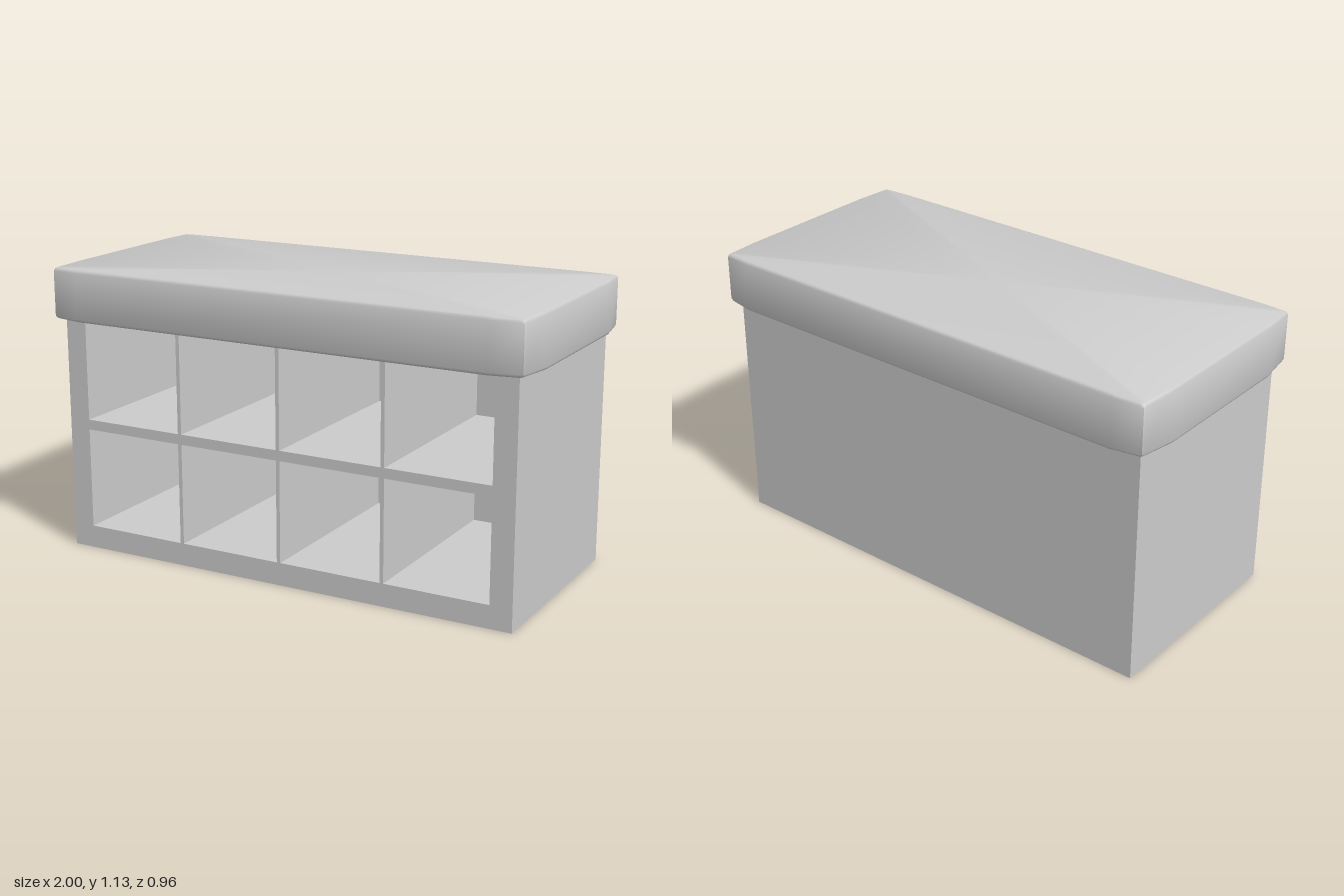
import * as THREE from 'three';
import { toCreasedNormals } from 'three/addons/utils/BufferGeometryUtils.js';

const material = new THREE.MeshStandardMaterial({ color: 0xcccccc });

function rectangle(path, x0, y0, x1, y1) {
  path.moveTo(x0, y0);
  path.lineTo(x1, y0);
  path.lineTo(x1, y1);
  path.lineTo(x0, y1);
  path.closePath();
  return path;
}

// Cubby carcass: a slab pierced by a 4 x 2 grid of compartments
function createCarcass() {
  const shape = rectangle(new THREE.Shape(), -0.948, 0, 0.948, 0.95);
  const gap = 0.015, width = (1.72 - 3 * gap) / 4;
  for (const y of [0.09, 0.53]) {
    for (let i = 0; i < 4; i++) {
      const x = -0.86 + i * (width + gap);
      shape.holes.push(rectangle(new THREE.Path(), x, y, x + width, y + 0.4));
    }
  }
  const geometry = new THREE.ExtrudeGeometry(shape, { depth: 0.8, bevelEnabled: false });
  geometry.translate(0, 0, -0.38);
  return geometry;
}

// One horizontal outline of the cushion: sides bulge, corners stay pulled in
function cushionRing(y, halfX, halfZ, inset) {
  const quarter = [[halfX, 0.31], [0.977, 0.446], [0.974, 0.454], [0.965, 0.458], [0.86, halfZ]]
    .map(([x, z]) => [x - inset, z - inset]);
  const flipped = [...quarter].reverse();
  return [
    ...quarter,
    ...flipped.map(([x, z]) => [-x, z]),
    ...quarter.map(([x, z]) => [-x, -z]),
    ...flipped.map(([x, z]) => [x, -z]),
  ].map(([x, z]) => [x, y, z]);
}

// Cushion lid: stacked outlines with small rounded rims, flat top and bottom
function createCushion() {
  const rims = [
    [0.93, 1, 0.478, 0.012], [0.934, 1, 0.478, 0.004], [0.943, 1, 0.478, 0],
    [1.118, 0.986, 0.464, 0], [1.127, 0.986, 0.464, 0.004], [1.131, 0.986, 0.464, 0.012],
  ];
  const rings = rims.map((rim) => cushionRing(...rim));
  const n = rings[0].length;
  const positions = [...rings.flat(2), 0, 0.93, 0, 0, 1.131, 0];
  const bottom = rings.length * n, top = bottom + 1, last = (rings.length - 1) * n;
  const index = [];
  for (let i = 0; i < n; i++) {
    const j = (i + 1) % n;
    for (let r = 0; r < rings.length - 1; r++) {
      const a = r * n + i, b = r * n + j;
      index.push(a, a + n, b, b, a + n, b + n);
    }
    index.push(bottom, i, j, top, last + j, last + i);
  }
  const geometry = new THREE.BufferGeometry();
  geometry.setAttribute('position', new THREE.Float32BufferAttribute(positions, 3));
  geometry.setIndex(index);
  return toCreasedNormals(geometry, 0.7);
}

export function createModel() {
  const group = new THREE.Group();
  group.name = 'storageBench';
  const add = (name, geometry) => {
    const mesh = new THREE.Mesh(geometry, material);
    mesh.name = name;
    group.add(mesh);
    return mesh;
  };
  add('cubbyCarcass', createCarcass());
  add('backPanel', new THREE.BoxGeometry(1.896, 0.95, 0.04)).position.set(0, 0.475, -0.4);
  add('seatCushion', createCushion());
  return group;
}
